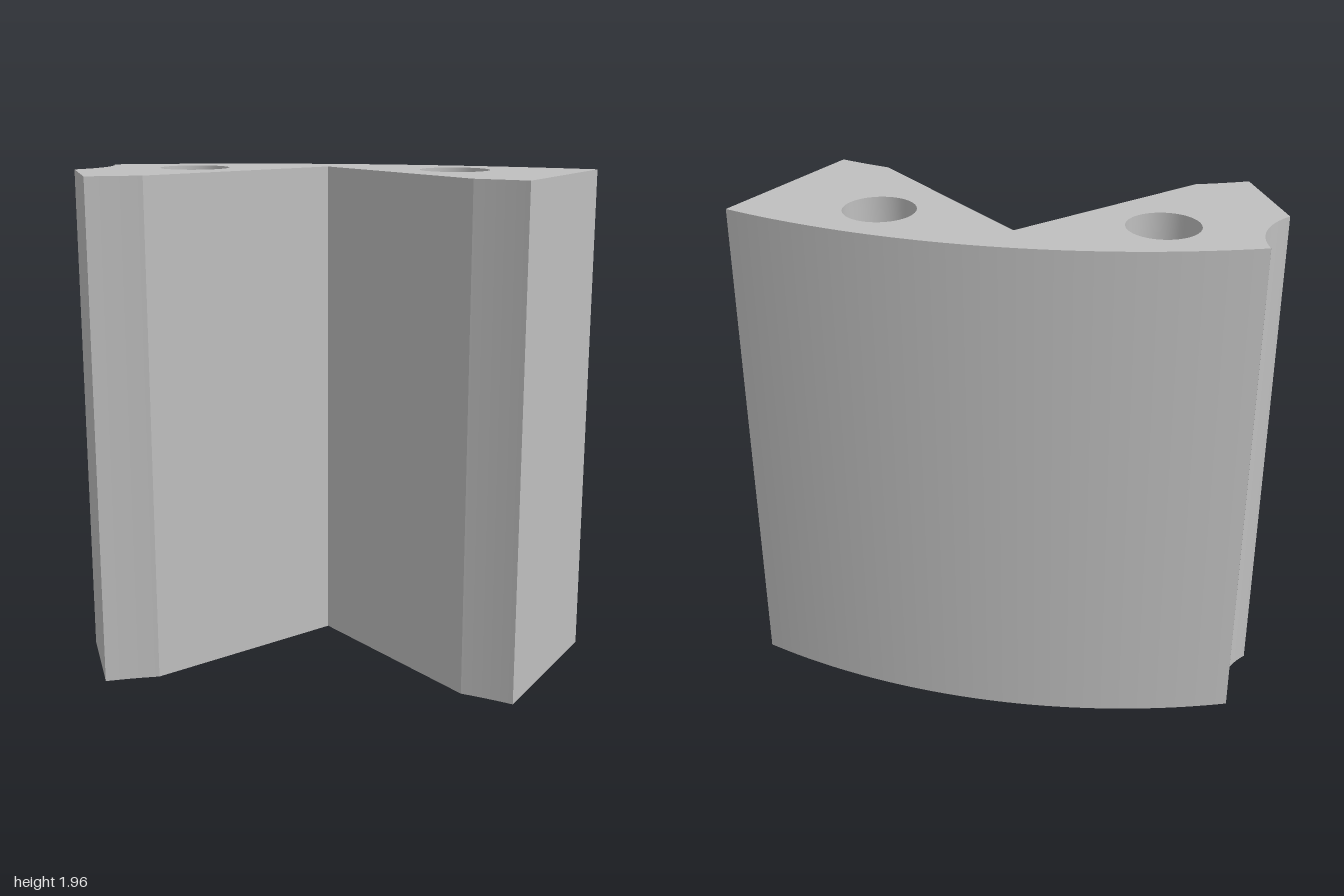
import * as THREE from 'three';
import { toCreasedNormals } from 'three/addons/utils/BufferGeometryUtils.js';

const HEIGHT = 1.96;
const MID = -0.055; // symmetry axis of the profile

// Arc between two points around a centre, appended to the shape
function arcBetween(shape, [cx, cy], [ax, ay], [bx, by], clockwise) {
  const radius = Math.hypot(ax - cx, ay - cy);
  shape.absarc(cx, cy, radius, Math.atan2(ay - cy, ax - cx), Math.atan2(by - cy, bx - cx), clockwise);
}

export function createModel() {
  const group = new THREE.Group();
  group.name = 'arcSegment';
  const grey = new THREE.MeshStandardMaterial({ color: 0xbfbfbf });
  grey.name = 'light grey';

  // Plan outline, drawn with shape y = -z
  const centre = [MID, -2.397];
  const shape = new THREE.Shape();
  shape.moveTo(0.74, -0.41);
  shape.lineTo(1, 0.215);
  arcBetween(shape, centre, [1, 0.215], [-0.935, 0.28], false); // curved back
  arcBetween(shape, [-1.228, 0.17], [-0.935, 0.28], [-1, -0.045], true); // side groove
  shape.lineTo(-0.85, -0.41);
  arcBetween(shape, centre, [-0.85, -0.41], [-0.65, -0.345], true); // left foot
  shape.lineTo(MID, 0.255); // V notch
  shape.lineTo(0.54, -0.345);
  arcBetween(shape, centre, [0.54, -0.345], [0.74, -0.41], true); // right foot

  // Two through holes
  for (const side of [-1, 1]) {
    const hole = new THREE.Path();
    hole.absarc(MID + side * 0.51, 0.125, 0.135, 0, Math.PI * 2, true);
    shape.holes.push(hole);
  }

  // Extrude upward, with smooth curves and sharp corners
  const solid = new THREE.ExtrudeGeometry(shape, { depth: HEIGHT, bevelEnabled: false, curveSegments: 24 });
  solid.rotateX(-Math.PI / 2);
  const body = new THREE.Mesh(toCreasedNormals(solid, 0.3), grey);
  body.name = 'notchedBlock';
  group.add(body);
  return group;
}
